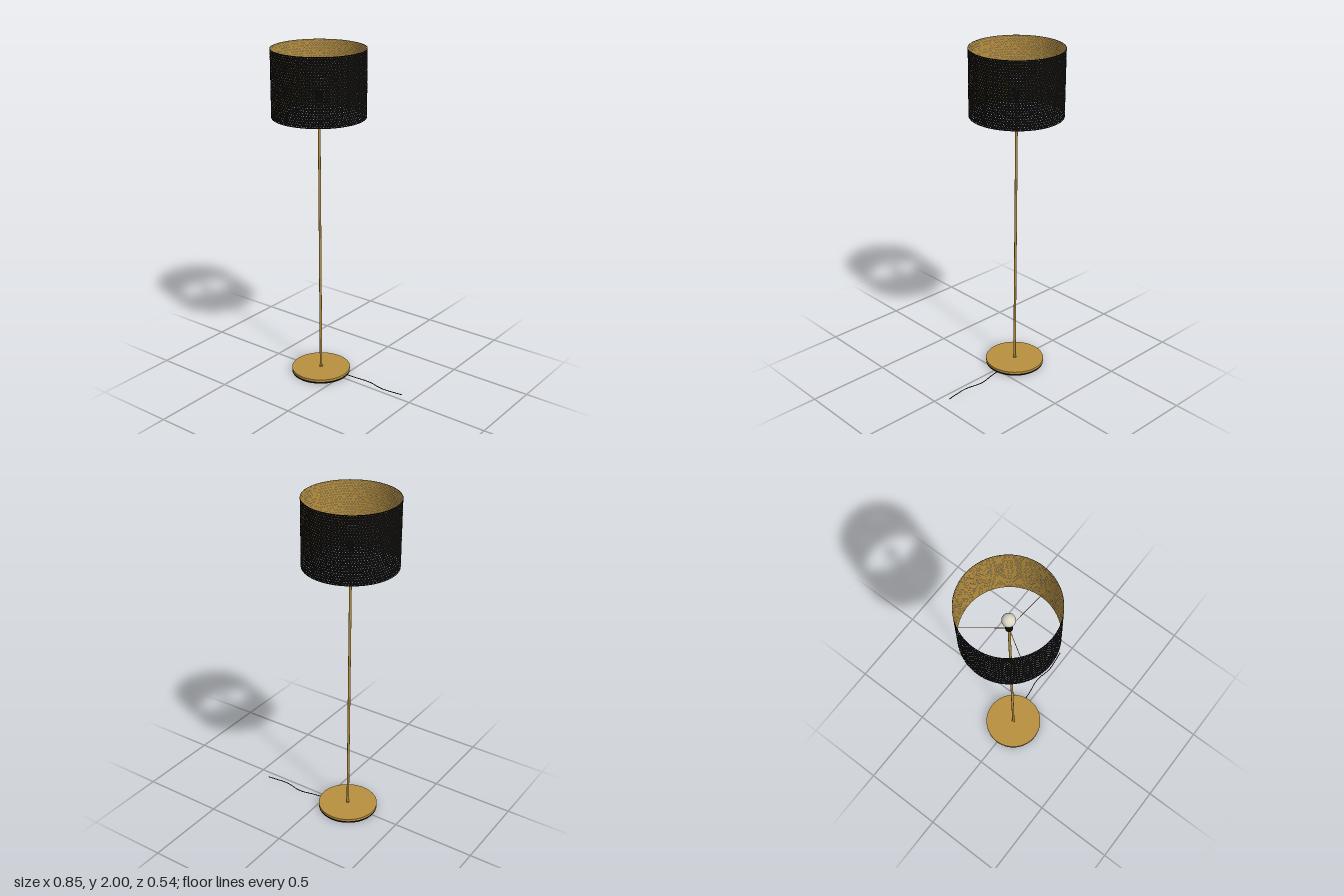
import * as THREE from 'three';

const CX = -0.155;                       // lamp axis, the cable trails off to +x
const SHADE = { r: 0.27, y0: 1.61, y1: 2.0, cols: 112, rows: 26, hole: 0.0022 };

const mat = (name, color) => {
  const m = new THREE.MeshStandardMaterial({ color });
  m.name = name;
  return m;
};

// Perforated cylinder wall: staggered square cells, each with a small diamond hole
function perforatedWall(r, inward) {
  const { y0, y1, cols, rows, hole } = SHADE;
  const da = (Math.PI * 2) / cols, dy = (y1 - y0) / rows;
  const ha = hole / SHADE.r;
  const pos = [], nor = [], idx = [];
  const faces = [
    [0, 1, 6], [1, 2, 6], [2, 7, 6], [2, 3, 7], [3, 8, 7],
    [3, 4, 8], [4, 5, 8], [5, 9, 8], [5, 0, 9], [0, 6, 9],
  ];
  const s = inward ? -1 : 1;
  for (let j = 0; j < rows; j++) {
    for (let i = 0; i < cols; i++) {
      const a = (i + (j % 2) / 2) * da, y = y0 + j * dy;
      const m = a + da / 2, c = y + dy / 2, start = pos.length / 3;
      const corners = [
        [a, y], [m, y], [a + da, y], [a + da, y + dy], [m, y + dy], [a, y + dy],
        [m, c - hole], [m + ha, c], [m, c + hole], [m - ha, c],
      ];
      for (const [t, h] of corners) {
        pos.push(r * Math.sin(t), h, r * Math.cos(t));
        nor.push(s * Math.sin(t), 0, s * Math.cos(t));
      }
      for (const [p, q, w] of faces) {
        idx.push(start + p, start + (inward ? w : q), start + (inward ? q : w));
      }
    }
  }
  const g = new THREE.BufferGeometry();
  g.setAttribute('position', new THREE.Float32BufferAttribute(pos, 3));
  g.setAttribute('normal', new THREE.Float32BufferAttribute(nor, 3));
  g.setIndex(idx);
  return g;
}

export function createModel() {
  const model = new THREE.Group();
  model.name = 'floorLamp';
  const brass = mat('brass', 0xb8903f);
  const black = mat('black', 0x0a0a0a);
  const glass = mat('frostedGlass', 0xddd6c6);

  const lamp = new THREE.Group();
  lamp.name = 'lamp';
  lamp.position.x = CX;
  model.add(lamp);

  const add = (parent, name, geo, material, y = 0) => {
    const mesh = new THREE.Mesh(geo, material);
    mesh.name = name;
    mesh.position.y = y;
    parent.add(mesh);
    return mesh;
  };
  const cyl = (r, h, seg = 32) => new THREE.CylinderGeometry(r, r, h, seg);

  // Base: black weight below a brass cover
  add(lamp, 'baseWeight', cyl(0.177, 0.013, 96), black, 0.0065);
  add(lamp, 'baseCover', cyl(0.178, 0.013, 96), brass, 0.0185);

  // Pole with a small collar at its foot
  add(lamp, 'pole', cyl(0.0075, 1.69, 24), brass, 0.865);
  add(lamp, 'poleCollar', cyl(0.011, 0.006, 24), brass, 0.027);

  // Socket and pear-shaped bulb
  add(lamp, 'socket', cyl(0.02, 0.06), black, 1.73);
  const profile = [new THREE.Vector2(0.014, 1.755), new THREE.Vector2(0.018, 1.77)];
  for (let i = 0; i <= 16; i++) {
    const t = -0.6 + (i / 16) * (Math.PI / 2 + 0.6);
    profile.push(new THREE.Vector2(Math.max(0, 0.037 * Math.cos(t)), 1.81 + 0.037 * Math.sin(t)));
  }
  add(lamp, 'bulb', new THREE.LatheGeometry(profile, 40), glass);

  // Shade: black outside, brass lining, thin rims closing both edges
  const shade = new THREE.Group();
  shade.name = 'shade';
  lamp.add(shade);
  const inner = SHADE.r - 0.0015;
  add(shade, 'shadeOuter', perforatedWall(SHADE.r, false), black);
  add(shade, 'shadeLining', perforatedWall(inner, true), brass);
  for (const [name, y, rx] of [['shadeTopRim', SHADE.y1, -1], ['shadeBottomRim', SHADE.y0, 1]]) {
    const rim = add(shade, name, new THREE.RingGeometry(inner, SHADE.r, 112), black, y);
    rim.rotation.x = (rx * Math.PI) / 2;
  }

  // Three arms sloping from the socket down to the lower edge of the shade
  for (let i = 0; i < 3; i++) {
    const a = (i * Math.PI * 2) / 3;
    const at = (r, y) => new THREE.Vector3(r * Math.cos(a), y, r * Math.sin(a));
    const path = new THREE.LineCurve3(at(0.006, 1.702), at(inner, 1.62));
    add(lamp, 'shadeArm', new THREE.TubeGeometry(path, 1, 0.0018, 8), brass);
  }

  // Cable leaving the base and lying on the floor
  const cable = new THREE.CatmullRomCurve3([
    [0.01, 0.009, -0.033], [0.04, 0.008, -0.034], [0.09, 0.006, -0.04], [0.15, 0.003, -0.05],
    [0.2, 0.0025, -0.048], [0.25, 0.0025, -0.036], [0.3, 0.0025, -0.031],
    [0.36, 0.0025, -0.037], [0.422, 0.0025, -0.045],
  ].map((p) => new THREE.Vector3(...p)));
  add(model, 'cable', new THREE.TubeGeometry(cable, 64, 0.0025, 8), black);

  return model;
}
